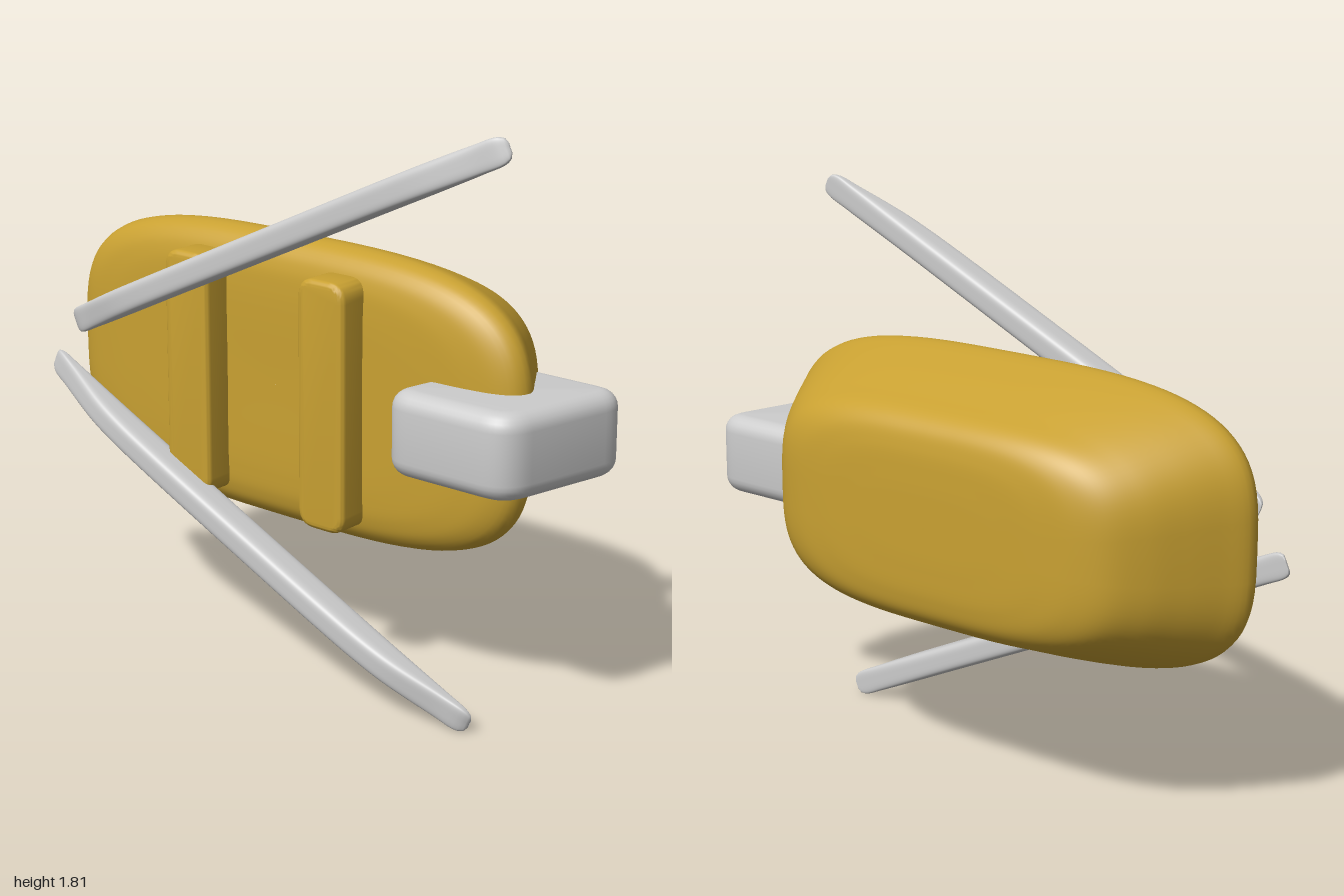
import * as THREE from 'three';
import { toCreasedNormals } from 'three/addons/utils/BufferGeometryUtils.js';

// Loft of superellipse rings along z; stations are [z, halfX, halfY] with z rising.
// With flush on, every ring rests on y = 0 instead of being centred there.
function loft(stations, power, flush = false, steps = 120, sides = 96) {
  const curve = new THREE.CatmullRomCurve3(stations.map(([z, a, b]) => new THREE.Vector3(a, b, z)));
  const pos = [], index = [];
  const bulge = (v) => Math.sign(v) * Math.abs(v) ** (2 / power);
  for (let i = 0; i <= steps; i++) {
    const p = curve.getPointAt(i / steps);
    const a = Math.max(p.x, 0.0005), b = Math.max(p.y, 0.0005);
    for (let j = 0; j < sides; j++) {
      const t = (j / sides) * Math.PI * 2;
      pos.push(a * bulge(Math.cos(t)), b * bulge(Math.sin(t)) + (flush ? b : 0), p.z);
      if (i < steps) {
        const k = i * sides + j, n = i * sides + ((j + 1) % sides);
        index.push(k, n, n + sides, k, n + sides, k + sides);
      }
    }
  }
  const geo = new THREE.BufferGeometry();
  geo.setAttribute('position', new THREE.Float32BufferAttribute(pos, 3));
  geo.setIndex(index);
  geo.computeVertexNormals();
  return geo;
}

// Polygon with rounded corners, extruded along z from 0 to depth with bevelled rims
function slab(points, radius, depth, bevel) {
  const pts = points.map(([x, y]) => new THREE.Vector2(x, y));
  const shape = new THREE.Shape();
  pts.forEach((p, i) => {
    const toward = (q) => q.clone().sub(p).setLength(radius).add(p);
    const from = toward(pts[(i + pts.length - 1) % pts.length]);
    const to = toward(pts[(i + 1) % pts.length]);
    if (i) shape.lineTo(from.x, from.y);
    else shape.moveTo(from.x, from.y);
    shape.quadraticCurveTo(p.x, p.y, to.x, to.y);
  });
  shape.closePath();
  const geo = new THREE.ExtrudeGeometry(shape, {
    depth: depth - 2 * bevel, bevelThickness: bevel, bevelSize: bevel,
    bevelOffset: -bevel, bevelSegments: 6, curveSegments: 10,
  });
  geo.translate(0, 0, bevel);
  return toCreasedNormals(geo, 0.6);
}

export function createModel() {
  const group = new THREE.Group();
  const gold = new THREE.MeshStandardMaterial({ color: 0xc9a132 });
  const grey = new THREE.MeshStandardMaterial({ color: 0xcccccc });
  const add = (name, geo, mat, x, y, z) => {
    const mesh = new THREE.Mesh(geo, mat);
    mesh.name = name;
    mesh.position.set(x, y, z);
    group.add(mesh);
    return mesh;
  };

  // Domed body, widest near the front and tapering to a flat back
  add('body', loft([
    [-0.345, 0, 0], [-0.344, 0.28, 0.14], [-0.338, 0.44, 0.235], [-0.32, 0.555, 0.295],
    [-0.28, 0.645, 0.333], [-0.2, 0.725, 0.367], [-0.1, 0.795, 0.408], [0, 0.858, 0.445],
    [0.05, 0.89, 0.46], [0.08, 0.902, 0.463], [0.12, 0.888, 0.45], [0.15, 0.84, 0.42],
    [0.168, 0.75, 0.375], [0.176, 0.6, 0.3], [0.176, 0, 0],
  ], 3.4), gold, -0.08, 0.91, 0);

  // Two raised straps on the front
  const strap = slab([[-0.09, -0.393], [0.09, -0.393], [0.09, 0.393], [-0.09, 0.393]], 0.06, 0.15, 0.02);
  add('rightStrap', strap, gold, -0.37, 0.91, 0.122);
  add('leftStrap', strap, gold, 0.18, 0.91, 0.122);

  // Two slim blades, flat behind and chamfered toward thin tips
  const blade = loft([
    [-0.955, 0, 0], [-0.955, 0.025, 0.005], [-0.935, 0.039, 0.012], [-0.85, 0.043, 0.023],
    [-0.68, 0.045, 0.044], [-0.56, 0.045, 0.051], [-0.4, 0.045, 0.054], [0, 0.045, 0.055],
    [0.4, 0.045, 0.054], [0.56, 0.045, 0.051], [0.68, 0.045, 0.044], [0.85, 0.043, 0.023],
    [0.935, 0.039, 0.012], [0.955, 0.025, 0.005], [0.955, 0, 0],
  ], 4, true);
  for (const [name, x, y, angle] of [
    ['upperBlade', -0.028, 1.382, 0.436], ['lowerBlade', -0.131, 0.436, -0.436],
  ]) {
    const along = new THREE.Vector3(Math.cos(angle), Math.sin(angle), 0);
    const across = new THREE.Vector3(-Math.sin(angle), Math.cos(angle), 0);
    add(name, blade, grey, x, y, 0.233).quaternion.setFromRotationMatrix(
      new THREE.Matrix4().makeBasis(across, new THREE.Vector3(0, 0, 1), along));
  }

  // Slanted block set into the left end of the body
  const block = slab([[0.455, -0.325], [0.915, -0.325], [1.012, 0.15], [0.55, 0.15]], 0.1, 0.265, 0.055);
  add('sideBlock', block, grey, 0, 0.777, 0).rotation.x = -Math.PI / 2;

  return group;
}
